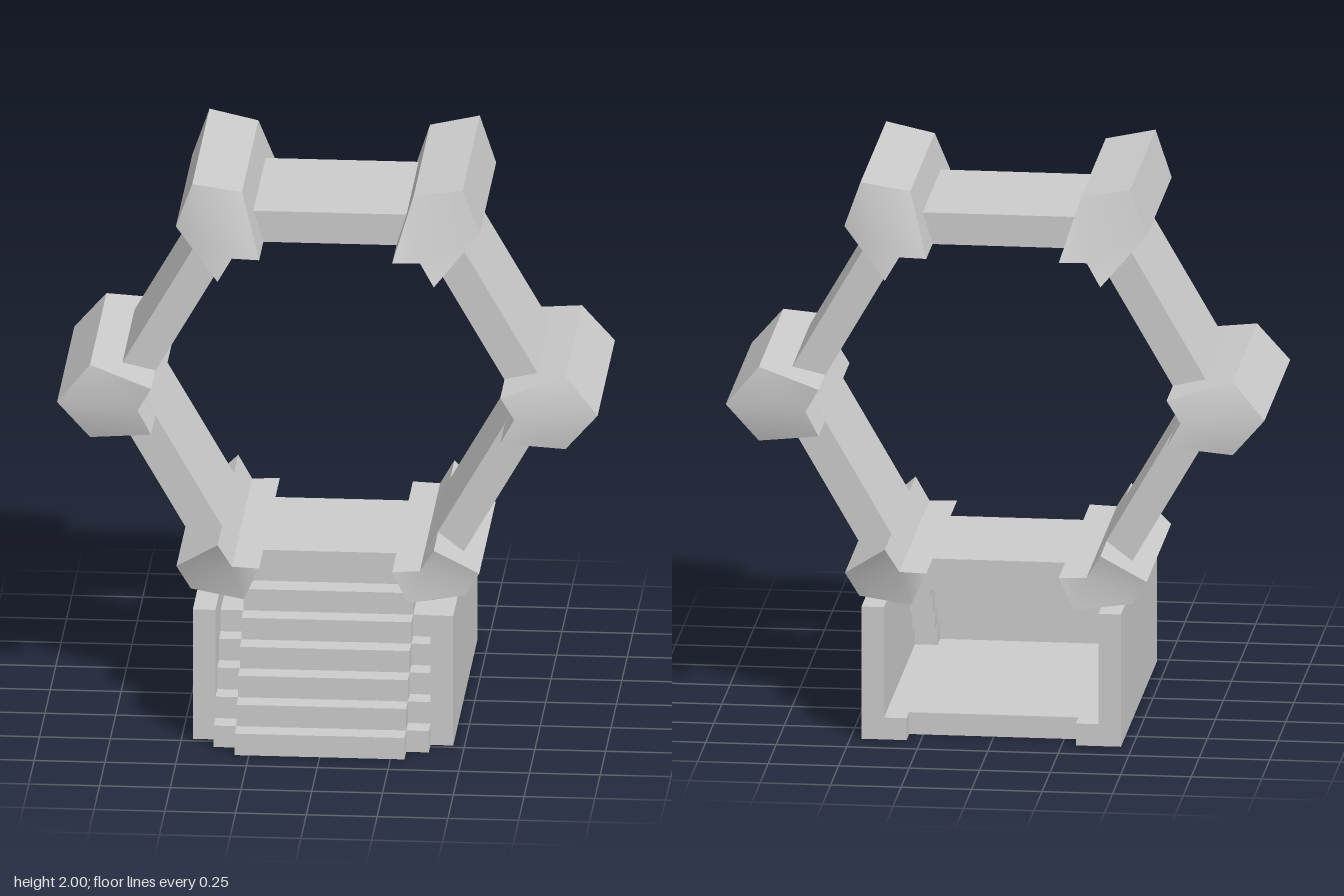
import * as THREE from 'three';

const RING_Y = 1.175, RING_Z = -0.12;

export function createModel() {
  const model = new THREE.Group();
  const material = new THREE.MeshStandardMaterial({ color: 0xcccccc });

  const add = (name, geometry) => {
    const mesh = new THREE.Mesh(geometry, material);
    mesh.name = name;
    model.add(mesh);
    return mesh;
  };

  // Box given by its limits on each axis
  const box = (name, x0, x1, y0, y1, z0, z1) =>
    add(name, new THREE.BoxGeometry(x1 - x0, y1 - y0, z1 - z0)
      .translate((x0 + x1) / 2, (y0 + y1) / 2, (z0 + z1) / 2));

  // Prism from a counter-clockwise outline of [x, y, half length];
  // the first point is the notch, from which the end caps are fanned
  const block = (name, outline) => {
    const n = outline.length, pos = [], index = [];
    const push = ([x, y, h], s) => pos.push(x, y, RING_Z + s * h);
    for (const s of [1, -1]) {
      const base = pos.length / 3;
      outline.forEach((p) => push(p, s));
      for (let i = 1; i < n - 1; i++) {
        if (s > 0) index.push(base, base + i, base + i + 1);
        else index.push(base, base + i + 1, base + i);
      }
    }
    for (let i = 0; i < n; i++) {
      const a = outline[i], b = outline[(i + 1) % n], base = pos.length / 3;
      push(a, 1); push(a, -1); push(b, -1); push(b, 1);
      index.push(base, base + 1, base + 2, base, base + 2, base + 3);
    }
    const g = new THREE.BufferGeometry();
    g.setAttribute('position', new THREE.Float32BufferAttribute(pos, 3));
    g.setIndex(index);
    g.computeVertexNormals();
    add(name, g);
  };

  // Six panels of the hexagonal ring
  for (let i = 0; i < 6; i++) {
    const a = Math.PI / 6 + i * Math.PI / 3;
    const panel = add('ringPanel', new THREE.BoxGeometry(0.115, 0.61, 0.56).translate(0.633, 0, 0));
    panel.rotation.z = a;
    panel.position.set(0, RING_Y, RING_Z);
  }

  // Pointed blocks on the four upper corners
  const corner = [
    [0.665, 0, 0.468], [0.617, -0.085, 0.48], [0.84, -0.135, 0.38],
    [0.955, 0, 0.4], [0.84, 0.135, 0.38], [0.617, 0.085, 0.48],
  ];
  for (const i of [0, 1, 2, 3]) {
    const c = Math.cos(i * Math.PI / 3), s = Math.sin(i * Math.PI / 3);
    block('cornerBlock', corner.map(([x, y, h]) => [x * c - y * s, RING_Y + x * s + y * c, h]));
  }

  // Flat-bottomed blocks on the two lower corners
  const foot = [
    [0.332, 0.6, 0.468], [0.235, 0.6, 0.48], [0.29, 0.484, 0.48],
    [0.484, 0.484, 0.38], [0.535, 0.566, 0.38], [0.382, 0.683, 0.48],
  ];
  block('leftFootBlock', foot);
  const mirrored = foot.map(([x, y, h]) => [-x, y, h]);
  block('rightFootBlock', [mirrored[0], ...mirrored.slice(1).reverse()]);

  // Base: side walls and floor, open at the back
  const step = 0.08;
  box('leftWall', 0.38, 0.46, 0, 0.484, -0.64, 0.48);
  box('rightWall', -0.46, -0.38, 0, 0.484, -0.64, 0.48);
  box('floor', -0.3, 0.3, 0, step, -0.56, 0.64);
  box('leftFloorEdge', 0.3, 0.38, 0, step, -0.64, 0.56);
  box('rightFloorEdge', -0.38, -0.3, 0, step, -0.64, 0.56);

  // Stairs, with side steps set one tread back
  for (let k = 1; k < 6; k++) {
    const y = k * step, z = 0.64 - k * step;
    box('stair', -0.3, 0.3, y, y + step, z - 2 * step, z);
    if (k > 4) continue;
    box('leftSideStair', 0.3, 0.38, y, y + step, z - 3 * step, z - step);
    box('rightSideStair', -0.38, -0.3, y, y + step, z - 3 * step, z - step);
  }

  return model;
}
